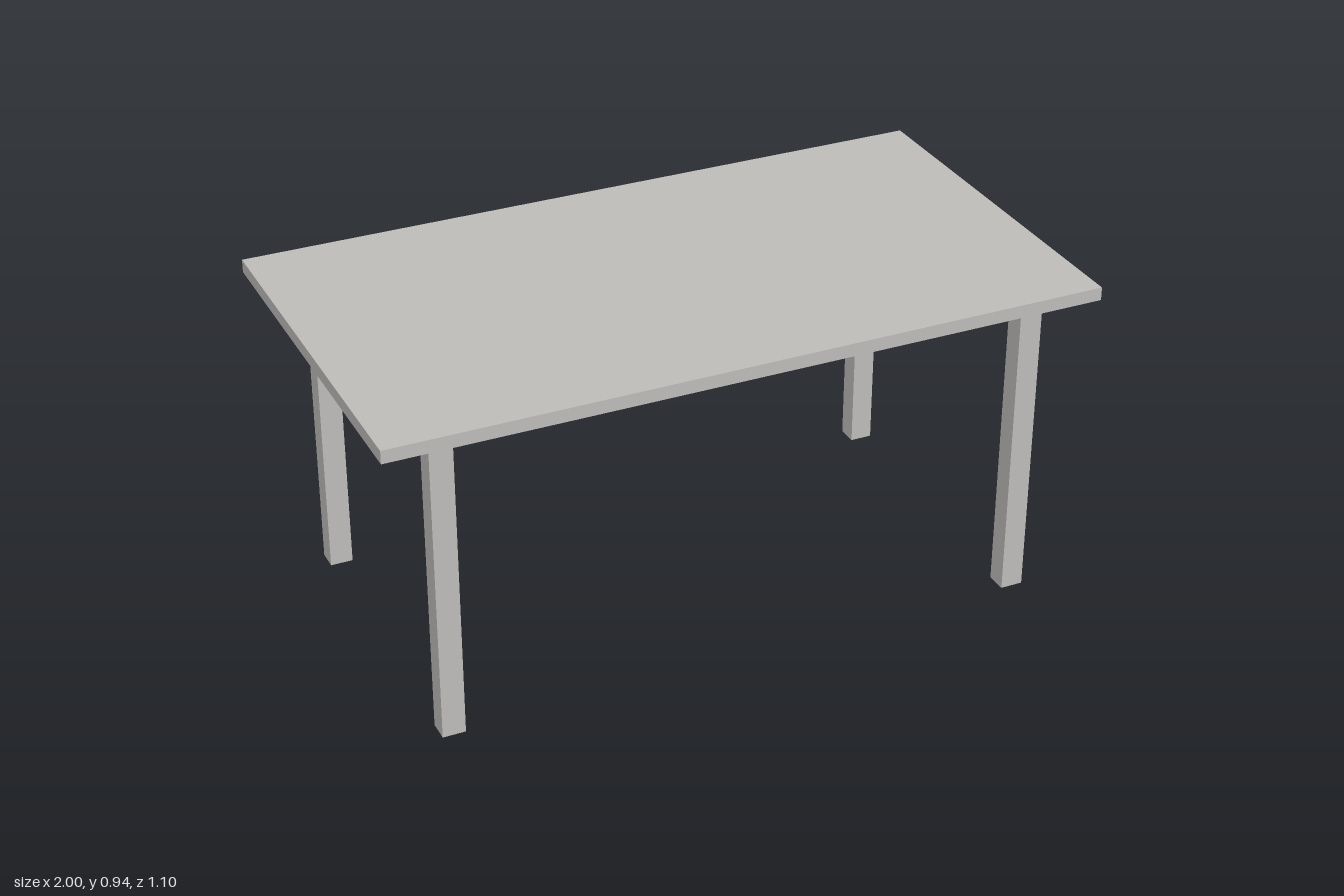
import * as THREE from 'three';

export function createModel() {
  const model = new THREE.Group();
  model.name = 'table';

  const paleGrey = new THREE.MeshStandardMaterial({ color: 0xc0bebb });
  paleGrey.name = 'paleGrey';

  const addBox = (name, size, position) => {
    const mesh = new THREE.Mesh(new THREE.BoxGeometry(...size), paleGrey);
    mesh.name = name;
    mesh.position.set(...position);
    model.add(mesh);
  };

  const underside = 0.902;
  const topThickness = 0.037;

  // Flat rectangular top
  addBox('tableTop', [2, topThickness, 1.096], [0, underside + topThickness / 2, 0]);

  // Four square legs, set very slightly off centre under the top
  for (const [side, x] of [['Left', 0.84], ['Right', -0.821]]) {
    for (const [end, z] of [['front', 0.438], ['back', -0.452]]) {
      addBox(`${end}${side}Leg`, [0.064, underside, 0.06], [x, underside / 2, z]);
    }
  }

  return model;
}
